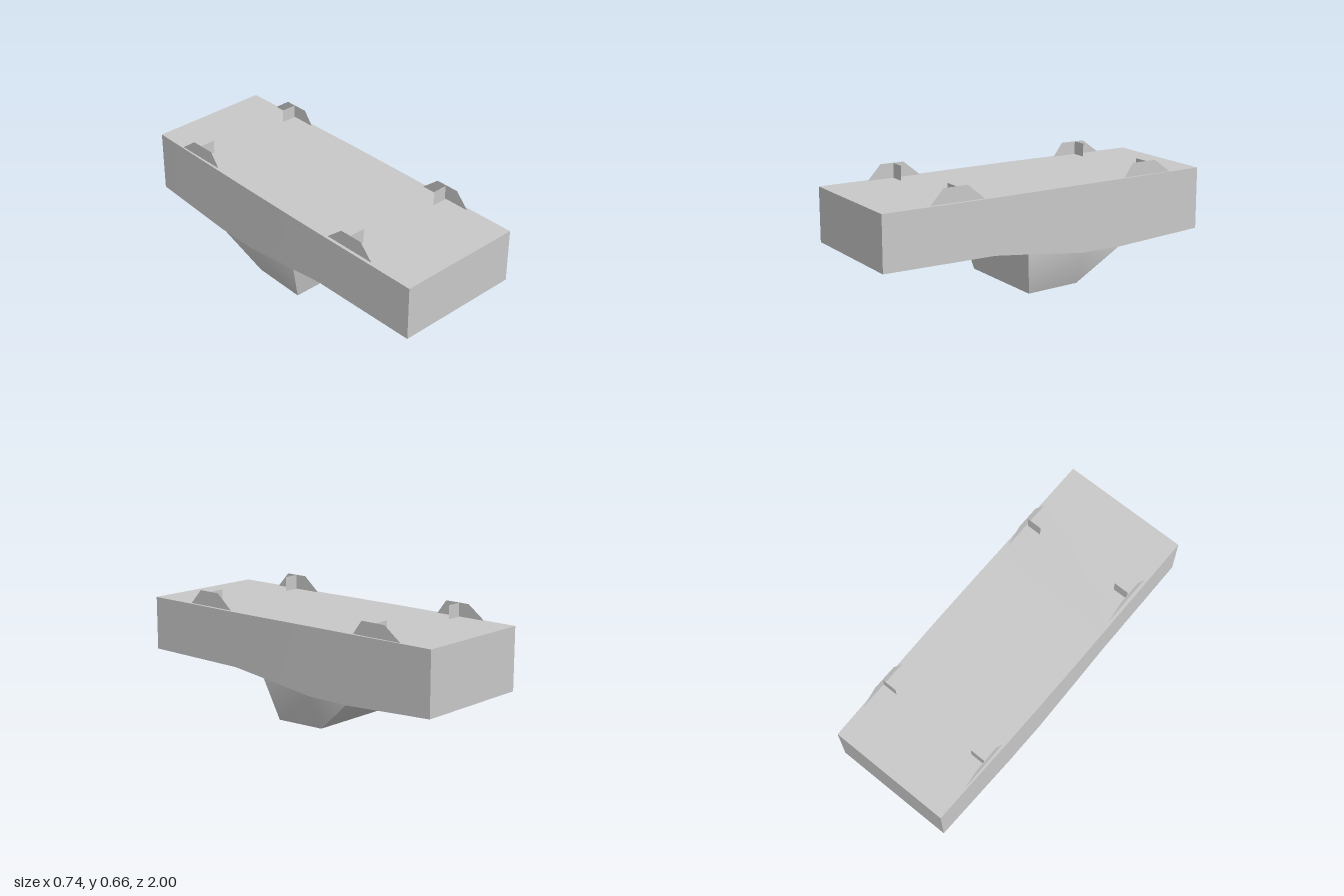
import * as THREE from 'three';
import { toCreasedNormals } from 'three/addons/utils/BufferGeometryUtils.js';
import { ConvexGeometry } from 'three/addons/geometries/ConvexGeometry.js';

const grey = new THREE.MeshStandardMaterial({ color: 0xc8c8c8, side: THREE.DoubleSide });
grey.name = 'light grey';

function part(name, geometry) {
  const mesh = new THREE.Mesh(geometry, grey);
  mesh.name = name;
  return mesh;
}

// Closed solid lofted through rectangular sections: [z, half width, top, bottom]
function loft(sections) {
  const pos = [], idx = [], last = (sections.length - 1) * 4;
  for (const [z, w, top, bot] of sections) {
    pos.push(w, top, z, -w, top, z, -w, bot, z, w, bot, z);
  }
  for (let i = 0; i < last; i += 4) {
    for (let j = 0; j < 4; j++) {
      const a = i + j, b = i + (j + 1) % 4, c = b + 4, d = a + 4;
      idx.push(a, d, c, a, c, b);
    }
  }
  idx.push(0, 1, 2, 0, 2, 3, last, last + 2, last + 1, last, last + 3, last + 2);
  const g = new THREE.BufferGeometry();
  g.setAttribute('position', new THREE.Float32BufferAttribute(pos, 3));
  g.setIndex(idx);
  return toCreasedNormals(g, 0.8);
}

// Upright trapezoid plate in the z-y plane at a given x
function sidePlate(x, profile) {
  const shape = new THREE.Shape(profile.map(([z, y]) => new THREE.Vector2(-z, y)));
  return new THREE.ShapeGeometry(shape).rotateY(Math.PI / 2).translate(x, 0, 0);
}

export function createModel() {
  const model = new THREE.Group();
  model.name = 'deckUnit';

  // Long slab with a dipping underside, slightly narrower at the back
  model.add(part('body', loft([
    [1, 0.37, 0.575, 0.268],
    [0.35, 0.37, 0.577, 0.268],
    [0.14, 0.37, 0.579, 0.245],
    [-0.2, 0.368, 0.582, 0.204],
    [-0.46, 0.364, 0.583, 0.203],
    [-1, 0.353, 0.585, 0.233],
  ])));

  // Tapered keel below the middle
  const keelPoints = [];
  for (const s of [1, -1]) {
    for (const [x, y, z] of [
      [0.29, 0, 0.09], [0.29, 0.012, -0.22],
      [0.365, 0.25, 0.14], [0.367, 0.206, -0.2], [0.36, 0.206, -0.46],
    ]) keelPoints.push(new THREE.Vector3(s * x, y, z));
  }
  model.add(part('keel', toCreasedNormals(new ConvexGeometry(keelPoints), 0.8)));

  // Four corner lugs: a trapezoid side plate and a crosswise tab
  const lugs = [
    ['front', 0.565, 0.352, [[0.72, 0.574], [0.64, 0.66], [0.5, 0.66], [0.395, 0.574]]],
    ['rear', -0.64, 0.348, [[-0.49, 0.58], [-0.55, 0.66], [-0.7, 0.66], [-0.81, 0.58]]],
  ];
  for (const [end, z, x, profile] of lugs) {
    for (const s of [1, -1]) {
      const lug = new THREE.Group();
      lug.name = end + (s > 0 ? 'LeftLug' : 'RightLug');
      const tab = new THREE.PlaneGeometry(0.088, 0.084).translate(s * 0.301, 0.618, z);
      lug.add(part('lugSidePlate', sidePlate(s * x, profile)), part('lugTab', tab));
      model.add(lug);
    }
  }
  return model;
}
